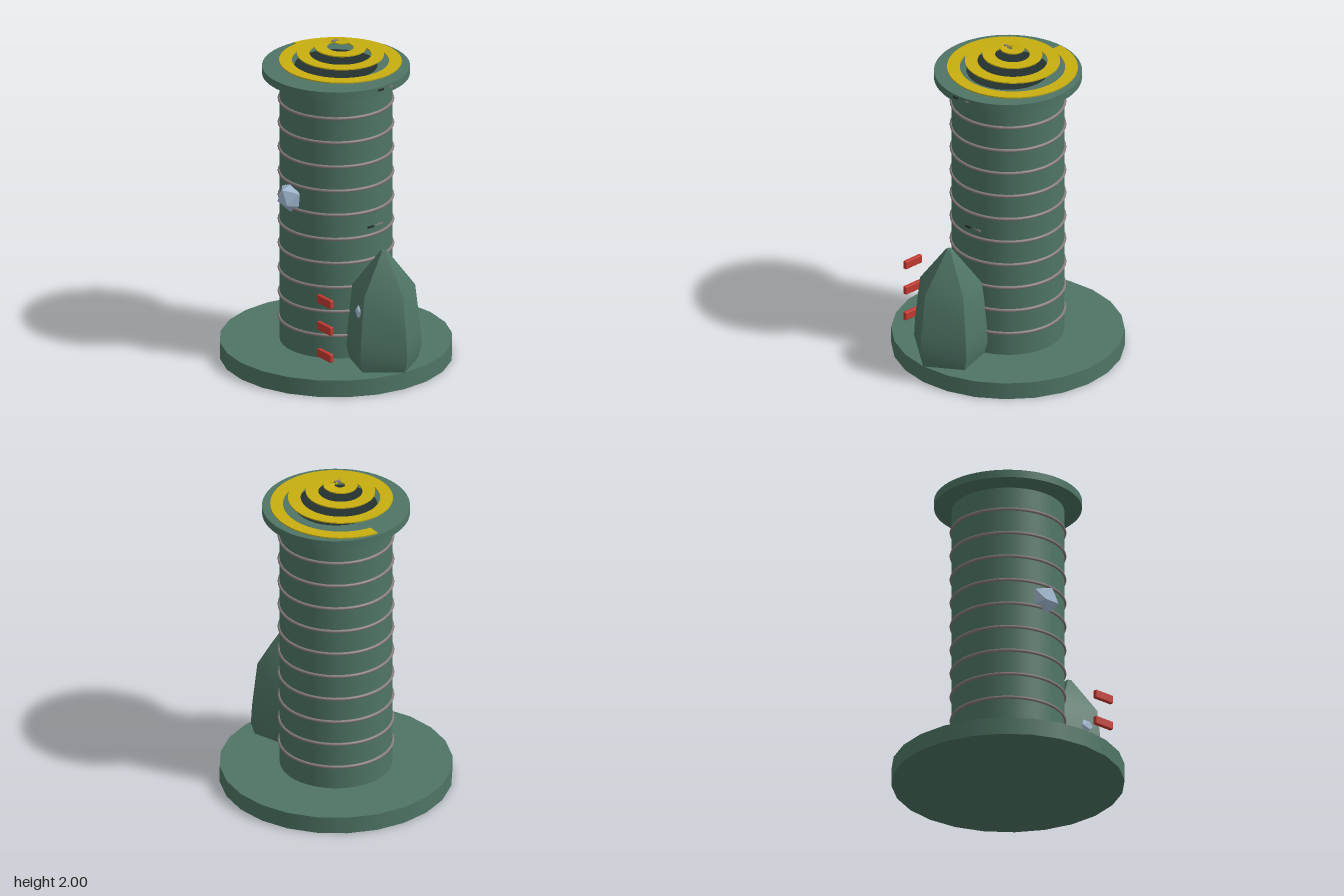
import * as THREE from 'three';
import { toCreasedNormals } from 'three/addons/utils/BufferGeometryUtils.js';
import { RoundedBoxGeometry } from 'three/addons/geometries/RoundedBoxGeometry.js';

const material = (name, color) => Object.assign(new THREE.MeshStandardMaterial({ color }), { name });

// Flat ribbon winding inwards and upwards
function ribbonGeometry(turns, steps) {
  const width = 0.075, thickness = 0.007, pos = [], index = [];
  for (let i = 0; i <= steps; i++) {
    const n = (turns * i) / steps, a = Math.PI * (1 - 2 * n);
    const outer = 0.425 - 0.105 * n, inner = outer - width;
    const top = 1.846 + 0.0425 * n, bottom = top - thickness;
    for (const [r, y] of [[outer, top], [inner, top], [inner, bottom], [outer, bottom]]) {
      pos.push(r * Math.cos(a), y, -r * Math.sin(a));
    }
    if (i === steps) break;
    for (let k = 0; k < 4; k++) {
      const p = i * 4 + k, q = i * 4 + (k + 1) % 4;
      index.push(p, q, p + 4, q, q + 4, p + 4);
    }
  }
  const e = steps * 4;
  index.push(0, 2, 1, 0, 3, 2, e, e + 1, e + 2, e, e + 2, e + 3);
  const g = new THREE.BufferGeometry();
  g.setAttribute('position', new THREE.Float32BufferAttribute(pos, 3));
  g.setIndex(index);
  return toCreasedNormals(g, 0.7);
}

// Icosahedron turned so that one triangle faces +z
function gemGeometry(radius, depth, roll) {
  const n = new THREE.Vector3(1, 1, 1).normalize();
  const up = new THREE.Vector3(1, (1 + Math.sqrt(5)) / 2, 0);
  up.addScaledVector(n, -up.dot(n)).normalize();
  const right = up.clone().cross(n);
  return new THREE.IcosahedronGeometry(radius, 0)
    .applyMatrix4(new THREE.Matrix4().makeBasis(right, up, n).transpose())
    .rotateZ(roll).scale(1, 1, depth);
}

export function createModel() {
  const model = new THREE.Group();
  model.name = 'tower';
  const green = material('green', 0x4f7566);
  const dark = material('dark', 0x24312e);
  const grey = material('grey', 0x877d7d);
  const yellow = material('yellow', 0xc8ae10);
  const red = material('red', 0xc23a30);
  const blue = material('paleBlue', 0xa8c0d8);

  const add = (parent, name, geometry, mat, x = 0, y = 0, z = 0) => {
    const mesh = new THREE.Mesh(geometry, mat);
    mesh.name = name;
    mesh.position.set(x, y, z);
    parent.add(mesh);
    return mesh;
  };

  // Tower, slightly off centre because of the side turret
  const tower = new THREE.Group();
  tower.name = 'mainTower';
  tower.position.x = -0.015;
  model.add(tower);
  const disc = (name, r, y0, y1, sides, mat = green) =>
    add(tower, name, new THREE.CylinderGeometry(r, r, y1 - y0, sides), mat, 0, (y0 + y1) / 2);
  disc('base', 0.69, 0, 0.105, 24);
  disc('column', 0.333, 0.105, 1.77, 48);
  disc('cap', 0.437, 1.79, 1.838, 64);
  disc('capCentre', 0.245, 1.838, 1.841, 48, dark);

  // Bands around the column
  const band = new THREE.TorusGeometry(0.335, 0.01, 8, 48).rotateX(Math.PI / 2);
  for (let i = 0; i < 10; i++) add(tower, 'band', band, grey, 0, 0.25 + i * 0.1533, 0);

  // Spiral ribbon and its tip
  add(tower, 'spiral', ribbonGeometry(3.6, 240), yellow);
  add(tower, 'spiralTip', new THREE.BoxGeometry(0.015, 0.008, 0.036), grey, 0, 1.996, 0.01);

  // Small pins at the side of the column and cap
  for (const [x, y] of [[0.333, 0.915], [0.434, 1.82]]) {
    add(tower, 'pinHead', new THREE.BoxGeometry(0.012, 0.012, 0.04), dark, x, y, -0.01);
    add(tower, 'pin', new THREE.BoxGeometry(0.008, 0.01, 0.07), grey, x - 0.008, y, -0.07);
  }

  // Gem window on the column
  add(tower, 'largeGem', gemGeometry(0.094, 1, 0), blue, 0, 1.077, 0.317);

  // Five-sided side turret
  const profile = [[0, 0.1], [0.21, 0.1], [0.235, 0.18], [0.228, 0.3], [0.195, 0.575], [0.018, 0.815], [0, 0.815]]
    .map(([r, y]) => new THREE.Vector2(r, y));
  const turret = toCreasedNormals(new THREE.LatheGeometry(profile, 5, Math.PI / 2), 0.7);
  add(model, 'turret', turret, green, 0.465);

  // Gem window on the turret, turned to its face
  const small = add(model, 'smallGem', gemGeometry(0.046, 0.6, Math.PI / 2), blue, 0.455, 0.457, 0.165);
  small.rotation.y = -Math.PI / 10;

  // Floating red steps
  const step = new RoundedBoxGeometry(0.135, 0.052, 0.026, 2, 0.006);
  for (const y of [0.215, 0.387, 0.557]) add(model, 'step', step, red, 0.4, y, 0.38);

  return model;
}
